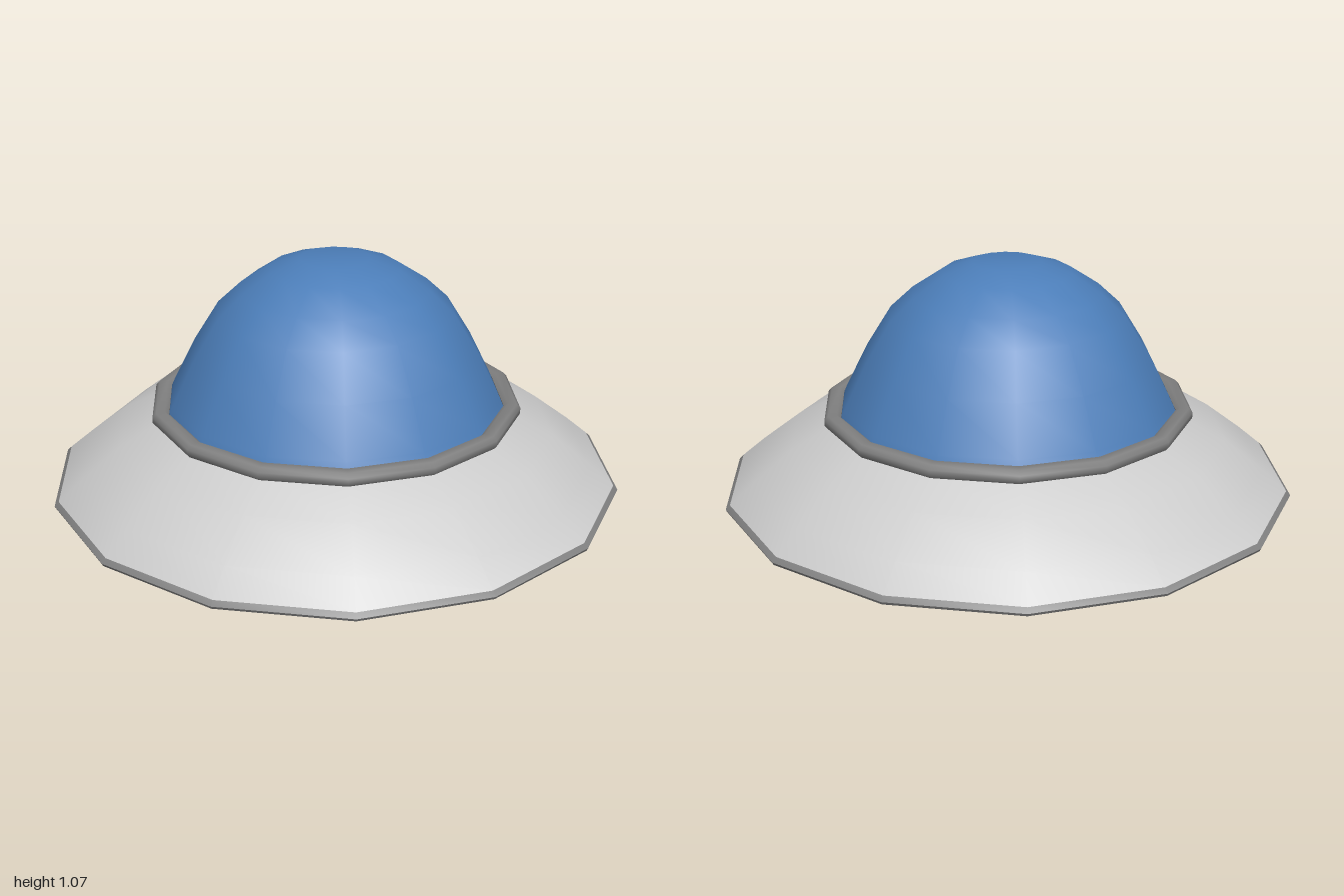
import * as THREE from 'three';
import { toCreasedNormals } from 'three/addons/utils/BufferGeometryUtils.js';

const SIDES = 14;
const STEP = (Math.PI * 2) / SIDES;
const material = (color) => new THREE.MeshStandardMaterial({ color });

// Revolved part; profile runs so that its outside lies to the right of travel
function revolve(name, profile, mat, crease = 0.6) {
  const pts = profile.map(([r, y]) => new THREE.Vector2(r, y));
  const geo = new THREE.LatheGeometry(pts, SIDES, Math.PI / 2);
  const mesh = new THREE.Mesh(toCreasedNormals(geo, crease), mat);
  mesh.name = name;
  return mesh;
}

// Mesh from a list of triangle corners
function fromTriangles(name, corners, mat, crease) {
  const geo = new THREE.BufferGeometry().setFromPoints(corners);
  const mesh = new THREE.Mesh(toCreasedNormals(geo, crease), mat);
  mesh.name = name;
  return mesh;
}

const polar = (a, r, y) => new THREE.Vector3(r * Math.sin(a), y, r * Math.cos(a));

export function createModel() {
  const group = new THREE.Group();
  const light = material(0xcccccc);
  const dark = material(0x808080);
  const blue = material(0x4c7eb9);
  const green = material(0x80d8c0);

  // Domed canopy
  group.add(revolve('canopy', [
    [0.595, 0.55], [0.58, 0.585], [0.5, 0.745], [0.41, 0.89], [0.33, 0.965],
    [0.225, 1.035], [0.12, 1.07], [0, 1.07],
  ], blue));

  // Collar around the canopy
  group.add(revolve('canopyCollar', [
    [0.61, 0.52], [0.635, 0.525], [0.648, 0.54], [0.648, 0.56],
    [0.635, 0.574], [0.605, 0.576], [0.59, 0.565], [0.59, 0.54],
  ], dark, 0.9));

  // Upper hull and its rim
  group.add(revolve('upperHull', [
    [0.985, 0.287], [0.9, 0.36], [0.765, 0.465], [0.61, 0.545],
  ], light));
  group.add(revolve('hullRim', [
    [0.96, 0.247], [0.995, 0.262], [1, 0.272], [0.985, 0.287], [0.96, 0.305],
  ], dark));

  // Lower hull: rings of facets, every other facet of the wide band has a window
  const rings = [[0.45, 0.036], [0.62, 0.09], [0.92, 0.222], [0.965, 0.25]];
  const hull = [], walls = [], panes = [];
  const quad = (list, a, b, c, d) => list.push(a, b, c, a, c, d);
  for (let i = 0; i < SIDES; i++) {
    const mid = Math.PI + i * STEP;
    for (let k = 0; k < rings.length - 1; k++) {
      const [lo, hi] = [rings[k], rings[k + 1]];
      const q = [
        polar(mid - STEP / 2, ...lo), polar(mid + STEP / 2, ...lo),
        polar(mid + STEP / 2, ...hi), polar(mid - STEP / 2, ...hi),
      ];
      if (k !== 1 || i % 2) {
        quad(hull, ...q);
        continue;
      }
      // Diamond opening in the plane of the facet
      const bottom = q[0].clone().lerp(q[1], 0.5);
      const top = q[3].clone().lerp(q[2], 0.5);
      const across = q[1].clone().sub(q[0]).normalize();
      const up = top.clone().sub(bottom).normalize();
      const out = across.clone().cross(up);
      const centre = bottom.clone().lerp(top, 0.54);
      const diamond = (scale, depth) => [[0, -1], [1, 0], [0, 1], [-1, 0]].map(([s, t]) =>
        centre.clone().addScaledVector(across, s * 0.107 * scale)
          .addScaledVector(up, t * 0.133 * scale).addScaledVector(out, -depth));
      const rim = diamond(1, 0);
      const floor = diamond(0.88, 0.05);
      for (let j = 0; j < 4; j++) {
        const n = (j + 1) % 4;
        hull.push(q[j], q[n], rim[j], q[n], rim[n], rim[j]);
        quad(walls, rim[j], rim[n], floor[n], floor[j]);
      }
      quad(panes, ...floor);
    }
  }
  group.add(fromTriangles('lowerHull', hull, dark, 0.6));
  group.add(fromTriangles('windowFrames', walls, dark, 0.3));
  group.add(fromTriangles('windowPanes', panes, green, 0.3));

  // Ring under the hull with a recessed hatch
  group.add(revolve('baseRing', [
    [0.37, 0.085], [0.38, 0.05], [0.39, 0.015], [0.41, 0], [0.475, 0], [0.475, 0.048],
  ], dark, 0.75));
  group.add(revolve('baseHatch', [[0, 0.075], [0.385, 0.075]], green));

  return group;
}
